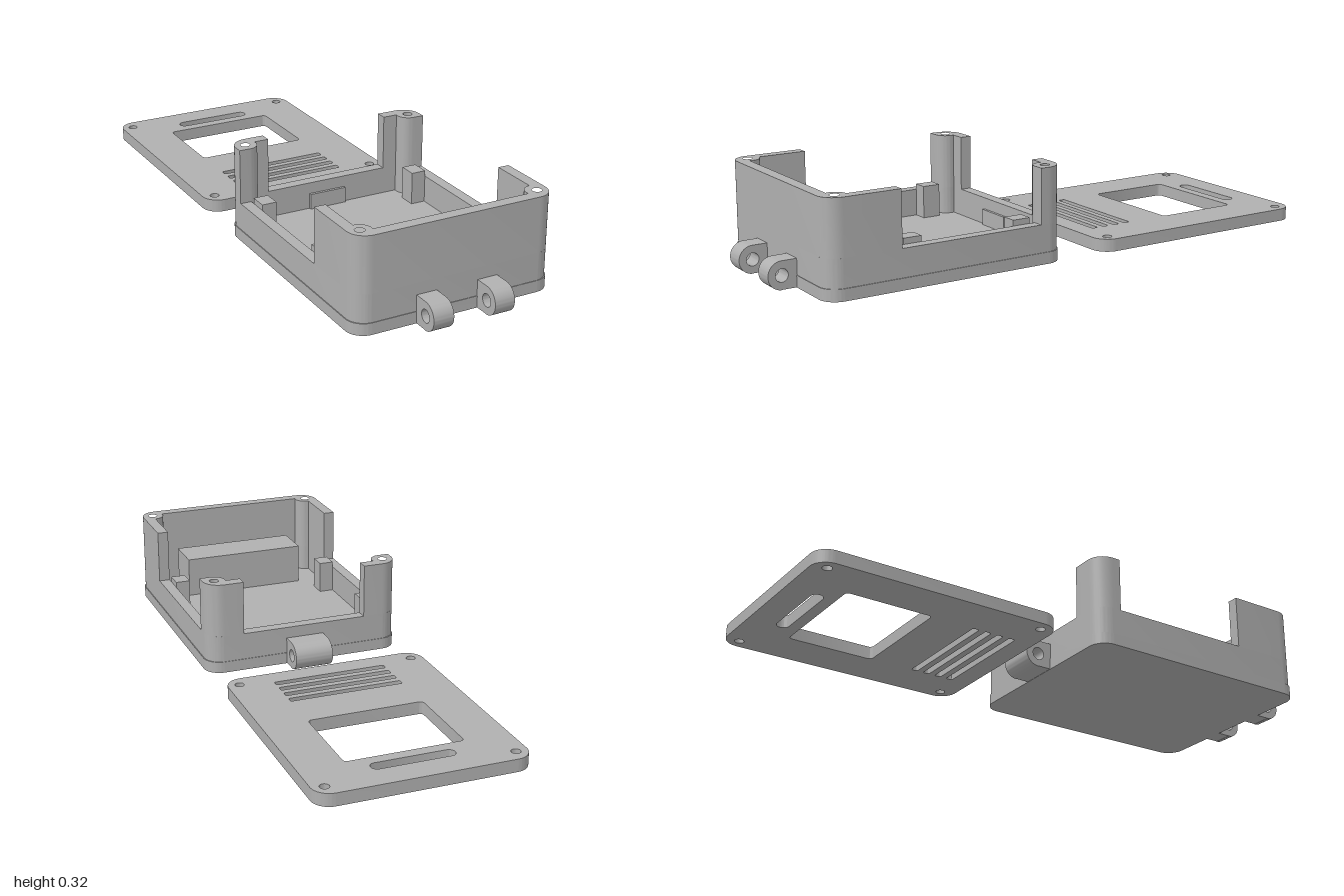
import * as THREE from 'three';
import { toCreasedNormals } from 'three/addons/utils/BufferGeometryUtils.js';

const HX = 0.354, HZ = 0.435;      // half size of the case
const IX = 0.315, IZ = 0.395;      // half size of the inside
const SX = 0.315, SZ = 0.385;      // screw positions
const R = 0.06, POST = 0.04, HOLE = 0.016;
const FLOOR = 0.04, LOW = 0.135, TOP = 0.325;
const CASE_Z = 0.465, LID_Z = -0.565;

function roundedRect(target, cx, cy, hx, hy, r) {
  target.absarc(cx + hx - r, cy - hy + r, r, -Math.PI / 2, 0);
  target.absarc(cx + hx - r, cy + hy - r, r, 0, Math.PI / 2);
  target.absarc(cx - hx + r, cy + hy - r, r, Math.PI / 2, Math.PI);
  target.absarc(cx - hx + r, cy - hy + r, r, Math.PI, Math.PI * 1.5);
  target.closePath();
  return target;
}

function circleHole(x, y, r) {
  return new THREE.Path().absarc(x, y, r, 0, Math.PI * 2, true);
}

// Outside corner, from the side face round to the end face
function outerCorner(sx, sy) {
  const pts = [];
  for (let i = 0; i <= 10; i++) {
    const a = (i / 10) * Math.PI / 2;
    pts.push(new THREE.Vector2(sx * (HX - R + R * Math.cos(a)), sy * (HZ - R + R * Math.sin(a))));
  }
  return pts;
}

// Round bulge of a screw post, from the side wall to the end wall
function postArc(sx, sy) {
  const pts = [], end = -Math.asin((IZ - SZ) / POST);
  for (let i = 0; i <= 12; i++) {
    const a = Math.PI / 2 + (end - Math.PI / 2) * i / 12;
    pts.push(new THREE.Vector2(sx * (SX - POST * Math.cos(a)), sy * (SZ - POST * Math.sin(a))));
  }
  return pts;
}

export function createModel() {
  const group = new THREE.Group();
  const grey = new THREE.MeshStandardMaterial({ color: 0xb0b0b0 });
  grey.name = 'grey plastic';

  function add(name, geometry, x, y, z) {
    const mesh = new THREE.Mesh(geometry, grey);
    mesh.name = name;
    mesh.position.set(x, y, z);
    group.add(mesh);
    return mesh;
  }
  const extrude = (shape, depth) => toCreasedNormals(
    new THREE.ExtrudeGeometry(shape, { depth, bevelEnabled: false, curveSegments: 12 }), 0.5);
  // Upright slab from a plan drawn with the back towards +y
  const slab = (name, shape, y, h, z) =>
    add(name, extrude(shape, h).rotateX(-Math.PI / 2), 0, y, z);

  // Floor, a hair wider than the walls
  slab('caseFloor', roundedRect(new THREE.Shape(), 0, 0, 0.357, 0.437, R), 0, FLOOR, CASE_Z);

  // Low wall all round, with the screw posts on its inside
  const lowWall = roundedRect(new THREE.Shape(), 0, 0, HX, HZ, R);
  lowWall.holes.push(new THREE.Path([
    ...postArc(1, 1), ...postArc(-1, 1).reverse(),
    ...postArc(-1, -1), ...postArc(1, -1).reverse(),
  ]));
  slab('lowWall', lowWall, FLOOR, LOW - FLOOR, CASE_Z);

  // Tall front wall with its side returns
  const front = new THREE.Shape([
    new THREE.Vector2(HX, -0.175), ...outerCorner(1, -1),
    ...outerCorner(-1, -1).reverse(), new THREE.Vector2(-HX, -0.175),
    new THREE.Vector2(-IX, -0.175), ...postArc(-1, -1),
    ...postArc(1, -1).reverse(), new THREE.Vector2(IX, -0.175),
  ]);
  front.holes.push(circleHole(SX, -SZ, HOLE), circleHole(-SX, -SZ, HOLE));
  slab('tallFrontWall', front, LOW, TOP - LOW, CASE_Z);

  // Tall back corners
  for (const sx of [1, -1]) {
    const corner = new THREE.Shape([
      new THREE.Vector2(sx * HX, SZ - POST), ...outerCorner(sx, 1),
      new THREE.Vector2(sx * 0.225, HZ), new THREE.Vector2(sx * 0.225, IZ),
      ...postArc(sx, 1).reverse(),
    ]);
    corner.holes.push(circleHole(sx * SX, SZ, HOLE));
    slab(sx > 0 ? 'leftBackCorner' : 'rightBackCorner', corner, LOW, TOP - LOW, CASE_Z);

    // Board supports along the side walls
    for (const z of [0.172, 0.582]) {
      add('boardSupport', new THREE.BoxGeometry(0.052, 0.12, 0.065), sx * 0.289, 0.095, z);
    }
  }

  // Block inside the case behind the front wall
  add('innerBlock', new THREE.BoxGeometry(0.45, 0.145, 0.143), -0.003, 0.1125, 0.763);

  // Hinge lugs, drawn from the side and passing through the wall
  function lug(name, x, z, width, dir) {
    const r = 0.0475;
    const s = new THREE.Shape();
    s.moveTo(-0.1, 0.001);
    s.lineTo(0, 0.001);
    s.absarc(0, r, r, -Math.PI / 2, Math.PI / 2);
    s.lineTo(-0.1, 2 * r);
    s.closePath();
    s.holes.push(circleHole(0, r, 0.022));
    const g = extrude(s, width).translate(0, 0, -width / 2).rotateY(-dir * Math.PI / 2);
    add(name, g, x, 0, z);
  }
  lug('frontHingeLug', 0.109, 0.952, 0.071, 1);
  lug('frontHingeLug', -0.109, 0.952, 0.071, 1);
  lug('backHingeLug', 0, -0.02, 0.136, -1);

  // Loose lid with window, slots and screw holes
  const lid = roundedRect(new THREE.Shape(), 0, 0, 0.357, 0.435, R);
  const cut = (z, hx, hz, r) =>
    lid.holes.push(roundedRect(new THREE.Path(), 0, LID_Z - z, hx, hz, r));
  cut(-0.673, 0.202, 0.153, 0.014);
  cut(-0.886, 0.141, 0.021, 0.0205);
  for (let i = 0; i < 4; i++) cut(-0.353 + i * 0.0463, 0.2, 0.0115, 0.006);
  for (const sx of [1, -1]) for (const sy of [1, -1]) lid.holes.push(circleHole(sx * SX, sy * SZ, HOLE));
  slab('lid', lid, 0, 0.044, LID_Z);

  return group;
}
